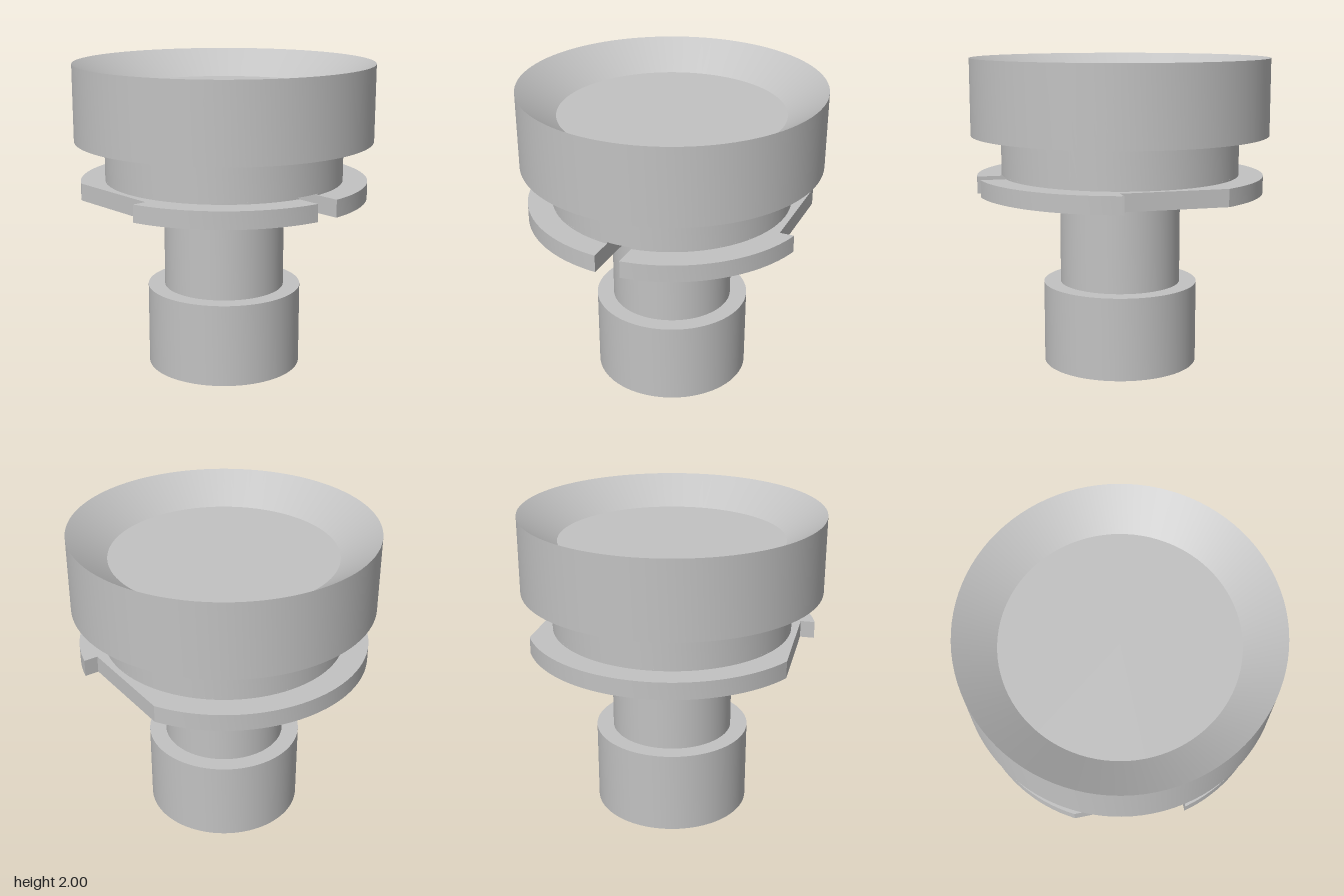
import * as THREE from 'three';
import { toCreasedNormals } from 'three/addons/utils/BufferGeometryUtils.js';

const SEG = 96;
const SLOT_HALF = 0.08, SLOT_BACK = 0.36; // key slot at the front
const FLANGE_R = 0.927, FLAT_X = 0.81, STEP_Z = 0.22;

export function createModel() {
  const group = new THREE.Group();
  const grey = new THREE.MeshStandardMaterial({ color: 0xc2c2c2 });
  grey.name = 'plain grey';

  const add = (name, geometry) => {
    const mesh = new THREE.Mesh(toCreasedNormals(geometry, 0.4), grey);
    mesh.name = name;
    group.add(mesh);
  };

  // Turned part: profile of [radius, height], rising on the outside
  const turned = (name, profile) =>
    add(name, new THREE.LatheGeometry(profile.map(([r, y]) => new THREE.Vector2(r, y)), SEG));

  // Plate between two heights; outline is drawn in x and z
  const plate = (name, points, y0, y1) => {
    const g = new THREE.ExtrudeGeometry(new THREE.Shape(points), { depth: y1 - y0, bevelEnabled: false });
    g.rotateX(Math.PI / 2);
    g.translate(0, y1, 0);
    add(name, g);
  };

  const arc = (r, a0, a1, n) => Array.from({ length: n + 1 }, (_, i) => {
    const a = a0 + (a1 - a0) * i / n;
    return new THREE.Vector2(r * Math.cos(a), r * Math.sin(a));
  });
  const slot = [new THREE.Vector2(SLOT_HALF, SLOT_BACK), new THREE.Vector2(-SLOT_HALF, SLOT_BACK)];

  // Disc with the front slot cut out
  const slottedDisc = (r) => {
    const a = Math.acos(SLOT_HALF / r);
    return [...arc(r, Math.PI - a, 2 * Math.PI + a, SEG), ...slot];
  };

  // Base with blind bore, and the stem above it
  turned('baseAndStem', [[0, 0.32], [0.293, 0.32], [0.293, 0], [0.503, 0], [0.503, 0.535],
    [0.393, 0.535], [0.393, 1.07], [0, 1.07]]);
  plate('stemTop', slottedDisc(0.393), 1.07, 1.14);

  // Locking flange: slot in front, a flat with a stop on each side
  const slotA = Math.acos(SLOT_HALF / FLANGE_R);
  const stepA = Math.asin(STEP_Z / FLANGE_R);
  const flatA = Math.acos(FLAT_X / FLANGE_R);
  plate('lockingFlange', [
    ...arc(FLANGE_R, Math.PI - slotA, Math.PI - stepA, 24),
    new THREE.Vector2(-FLAT_X, STEP_Z),
    ...arc(FLANGE_R, Math.PI + flatA, 2 * Math.PI - flatA, 40),
    new THREE.Vector2(FLAT_X, STEP_Z),
    ...arc(FLANGE_R, stepA, slotA, 24),
    ...slot,
  ], 1.14, 1.25);

  // Neck and dished head
  plate('neckBottom', slottedDisc(0.77), 1.25, 1.26);
  turned('neckAndHead', [[0, 1.26], [0.77, 1.26], [0.77, 1.51], [0.962, 1.51], [0.962, 2],
    [0.718, 1.825], [0, 1.825]]);

  return group;
}
